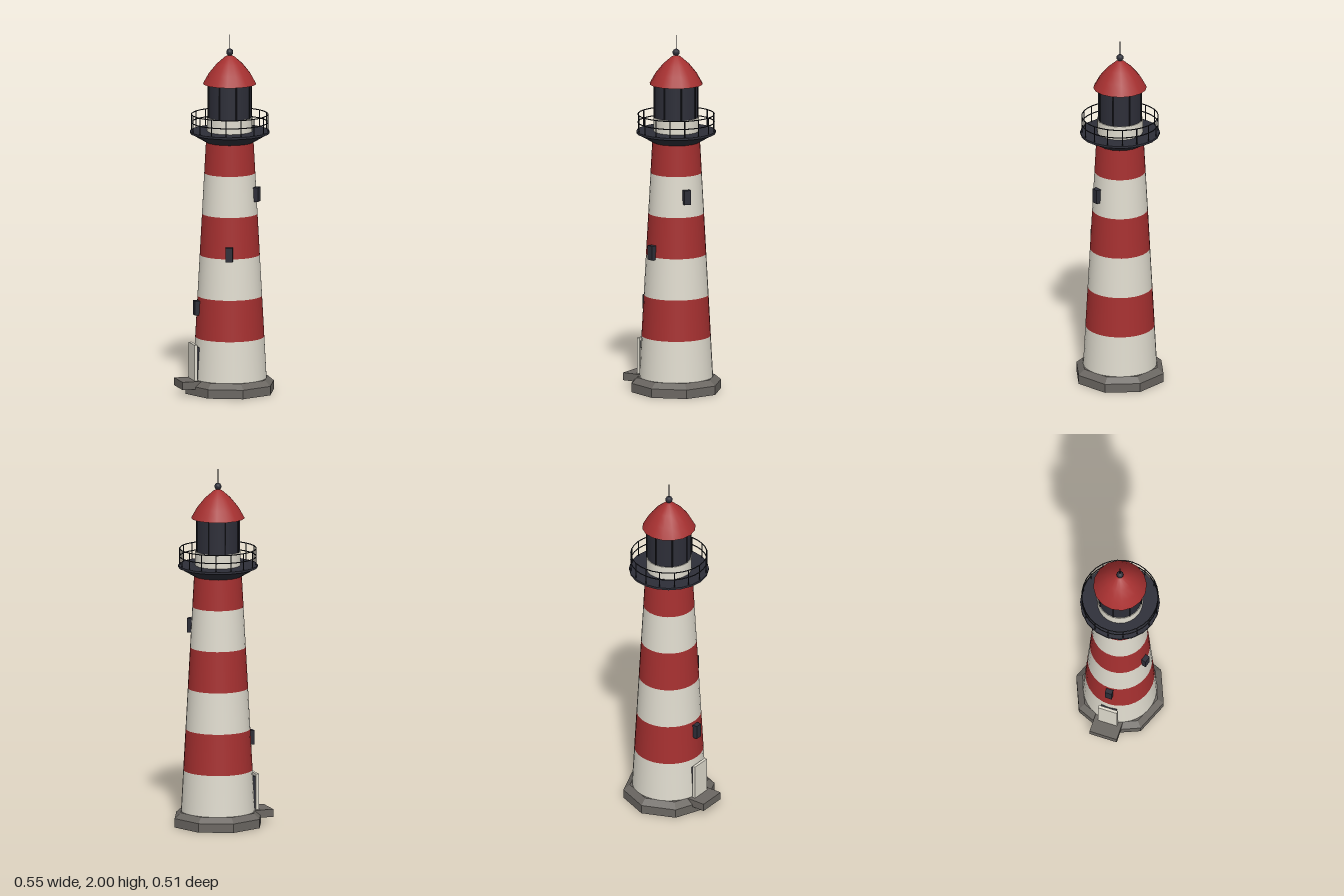
import * as THREE from 'three';

const mat = (name, color) => {
  const m = new THREE.MeshStandardMaterial({ color });
  m.name = name;
  return m;
};

export function createModel() {
  const white = mat('whitewash', 0xe0dccf);
  const red = mat('red paint', 0xa63030);
  const dark = mat('dark metal', 0x2d2e38);
  const rail = mat('railing black', 0x1d1e24);
  const stone = mat('grey stone', 0x6b6762);
  stone.flatShading = true;

  const model = new THREE.Group();
  model.name = 'lighthouse';
  const body = new THREE.Group();
  body.name = 'body';
  body.position.x = 0.021; // the step sticks out on one side
  model.add(body);

  const add = (name, geometry, material, x = 0, y = 0, z = 0, parent = body) => {
    const mesh = new THREE.Mesh(geometry, material);
    mesh.name = name;
    mesh.position.set(x, y, z);
    parent.add(mesh);
    return mesh;
  };
  // Upright round part between two heights
  const drum = (name, r0, r1, y0, y1, sides, material, open = false) =>
    add(name, new THREE.CylinderGeometry(r1, r0, y1 - y0, sides, 1, open), material, 0, (y0 + y1) / 2);

  // Eight-sided plinth with a bevelled top
  drum('plinth', 0.254, 0.254, 0, 0.05, 8, stone);
  drum('plinthBevel', 0.254, 0.218, 0.05, 0.08, 8, stone);

  // Tapering tower in alternating bands
  const radiusAt = (y) => 0.204 - (y - 0.08) * 0.0545;
  const bands = [0.08, 0.31, 0.54, 0.77, 1.0, 1.228, 1.45];
  for (let i = 0; i < 6; i++) {
    drum('towerBand', radiusAt(bands[i]), radiusAt(bands[i + 1]), bands[i], bands[i + 1], 32, i % 2 ? red : white, true);
  }

  // Doorstep, door and its surround
  add('doorstep', new THREE.BoxGeometry(0.125, 0.043, 0.158), stone, -0.234, 0.0585, 0);
  add('door', new THREE.BoxGeometry(0.03, 0.185, 0.09), dark, -0.194, 0.1725, 0);
  add('doorSurround', new THREE.BoxGeometry(0.016, 0.2, 0.11), white, -0.212, 0.18, 0);

  // Windows winding up the tower
  [[180, 0.48], [108, 0.797], [36, 1.115]].forEach(([deg, y]) => {
    const a = THREE.MathUtils.degToRad(deg);
    const r = radiusAt(y) + 0.003;
    const w = add('window', new THREE.BoxGeometry(0.04, 0.08, 0.042), dark, r * Math.cos(a), y, r * Math.sin(a));
    w.rotation.y = Math.PI / 2 - a;
  });

  // Flared gallery
  drum('galleryFlare', 0.13, 0.218, 1.4, 1.452, 20, dark);
  drum('galleryDeck', 0.22, 0.22, 1.45, 1.462, 20, dark);

  // Gallery railing
  const railing = new THREE.Group();
  railing.name = 'railing';
  body.add(railing);
  const post = new THREE.CylinderGeometry(0.003, 0.003, 0.096, 6);
  for (let i = 0; i < 16; i++) {
    const a = (i / 16) * Math.PI * 2;
    add('railPost', post, rail, 0.211 * Math.sin(a), 1.508, 0.211 * Math.cos(a), railing);
  }
  for (const y of [1.51, 1.555]) {
    const ring = add('handrail', new THREE.TorusGeometry(0.211, 0.003, 6, 32), rail, 0, y, 0, railing);
    ring.rotation.x = Math.PI / 2;
  }

  // Lantern room with glazing bars
  drum('lanternBase', 0.126, 0.126, 1.46, 1.54, 24, white);
  drum('lanternGlass', 0.122, 0.122, 1.54, 1.728, 24, dark);
  const bar = new THREE.CylinderGeometry(0.004, 0.004, 0.188, 6);
  for (let i = 0; i < 8; i++) {
    const a = (i / 8) * Math.PI * 2;
    add('glazingBar', bar, rail, 0.123 * Math.sin(a), 1.634, 0.123 * Math.cos(a));
  }

  // Domed roof, closed underneath
  const profile = [[0.148, 1.726], [0.115, 1.785], [0.072, 1.838], [0.025, 1.879], [0, 1.89]];
  add('roof', new THREE.LatheGeometry(profile.map(([r, y]) => new THREE.Vector2(r, y)), 16), red);
  const soffit = add('roofUnderside', new THREE.CircleGeometry(0.148, 16), red, 0, 1.726, 0);
  soffit.rotation.x = Math.PI / 2;

  // Finial ball and lightning rod
  add('finialBall', new THREE.SphereGeometry(0.02, 10, 8), dark, 0, 1.903, 0);
  drum('lightningRod', 0.002, 0.002, 1.91, 2.0, 6, rail);

  return model;
}
